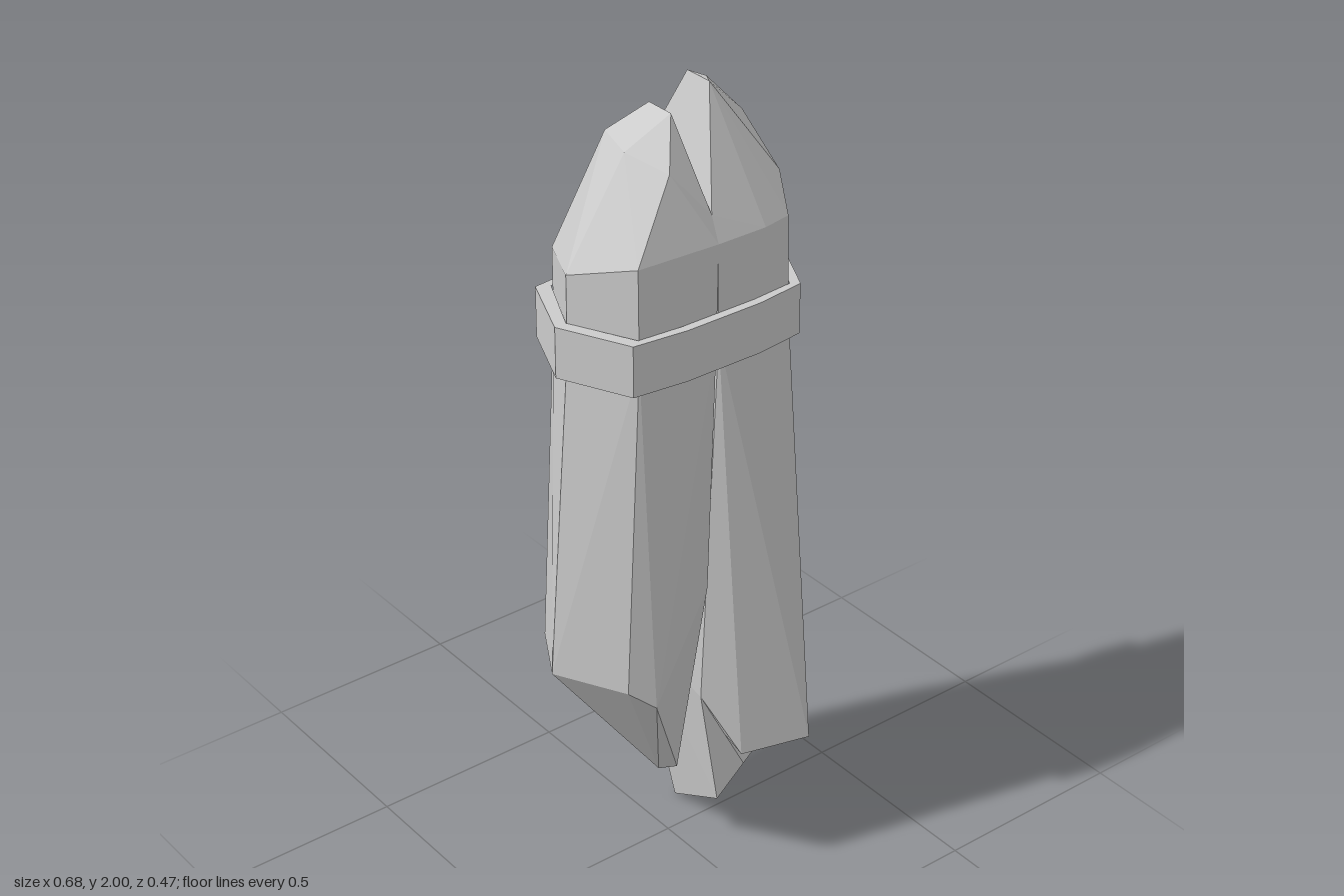
import * as THREE from 'three';
import { ConvexGeometry } from 'three/addons/geometries/ConvexGeometry.js';

const material = new THREE.MeshStandardMaterial({ color: 0xcccccc, flatShading: true });

// A faceted shard: the convex skin around a few corner points
function shard(name, corners) {
  const geometry = new ConvexGeometry(corners.map((c) => new THREE.Vector3(...c)));
  const mesh = new THREE.Mesh(geometry, material);
  mesh.name = name;
  return mesh;
}

// Half of the waist section hidden inside the band; s = +1 left half, -1 right half
const waist = (s, y) => [
  [0.283 * s, y, 0.01], [0.207 * s, y, -0.145], [0.1 * s, y, -0.162], [0.003 * s, y, -0.162],
  [0.003 * s, y, 0.174], [0.1 * s, y, 0.174], [0.207 * s, y, 0.165],
];

export function createModel() {
  const group = new THREE.Group();

  // Upper points, parted by a notch along x = 0
  group.add(shard('upperRightPoint', [
    ...waist(-1, 1.45),
    [-0.283, 1.64, 0.01], [-0.207, 1.69, 0.163], [-0.207, 1.62, -0.145],
    [0, 1.69, 0.174], [0, 1.75, 0.15], [0, 1.75, -0.13],
    [-0.09, 1.86, 0.12], [-0.09, 1.88, -0.105], [-0.125, 1.88, 0.01],
    [-0.028, 1.955, 0.045], [-0.028, 1.955, -0.03],
  ]));
  group.add(shard('upperLeftPoint', [
    ...waist(1, 1.45),
    [0.28, 1.73, 0.01], [0.205, 1.69, 0.16], [0.205, 1.74, -0.143],
    [0, 1.69, 0.174], [0, 1.75, 0.15], [0, 1.75, -0.13], [0.13, 1.69, 0.174],
    [0.15, 1.78, 0.12], [0.215, 1.78, 0.115], [0.195, 1.89, 0.01],
    [0.075, 2, 0.045], [0.075, 2, -0.03], [0.095, 1.995, 0.01],
  ]));

  // Lower right shard, the shorter one
  group.add(shard('lowerRightShard', [
    ...waist(-1, 1.46),
    [-0.338, 0.62, 0], [-0.24, 0.61, 0.16], [-0.18, 0.56, 0.188], [-0.24, 0.6, -0.165],
    [-0.003, 0.8, 0.15], [-0.003, 0.75, -0.1],
    [-0.06, 0.24, 0.04], [-0.004, 0.22, 0.04], [-0.03, 0.23, -0.03],
  ]));

  // Lower left shard: long prism, then a tip set back behind its broken front edge
  const rim = [
    [0.02, 0.45, 0.1], [0.03, 0.5, -0.17], [0.08, 0.45, -0.228], [0.205, 0.44, -0.237],
    [0.25, 0.42, -0.2], [0.338, 0.35, -0.05], [0.328, 0.27, 0.06],
  ];
  group.add(shard('lowerLeftShard', [
    ...waist(1, 1.46), ...rim,
    [0.2, 0.8, -0.22], [0.245, 0.31, 0.236], [0.09, 0.29, 0.17],
  ]));
  group.add(shard('lowerLeftTip', [
    ...rim, [0.13, 0.22, 0.13], [0.065, 0.13, 0.11], [0.1, 0, -0.1],
  ]));

  // Band around the waist
  const outline = [
    [-0.315, 0.01], [-0.24, -0.165], [-0.1, -0.179], [0.12, -0.175], [0.227, -0.161],
    [0.315, 0.01], [0.227, 0.181], [0.1, 0.196], [-0.1, 0.196], [-0.235, 0.181],
  ].map(([x, z]) => new THREE.Vector2(x, -z));
  const opening = [
    [-0.285, 0.01], [-0.21, -0.147], [-0.1, -0.163], [0.1, -0.163], [0.207, -0.147],
    [0.283, 0.01], [0.208, 0.166], [0.1, 0.175], [-0.1, 0.175], [-0.21, 0.166],
  ].map(([x, z]) => new THREE.Vector2(x, -z));
  const shape = new THREE.Shape(outline);
  shape.holes.push(new THREE.Path(opening));
  const bandGeometry = new THREE.ExtrudeGeometry(shape, { depth: 0.125, bevelEnabled: false });
  bandGeometry.rotateX(-Math.PI / 2).translate(0, 1.4, 0);
  const band = new THREE.Mesh(bandGeometry, material);
  band.name = 'band';
  group.add(band);

  return group;
}
